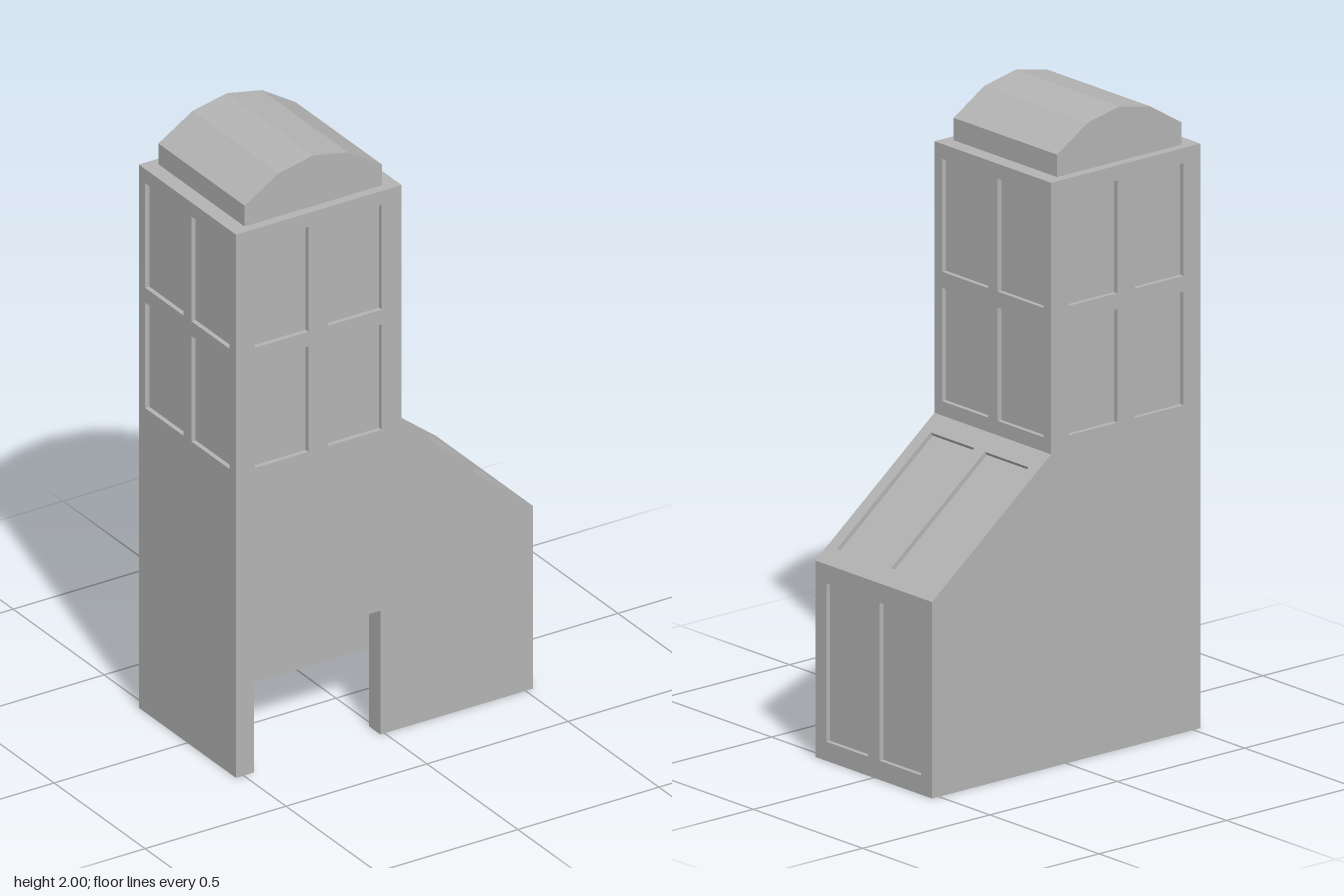
import * as THREE from 'three';

const D = 0.015; // depth of the window recesses
const HALF = 0.267; // half of the building's depth

const shapeOf = (pts) => new THREE.Shape(pts.map(([x, y]) => new THREE.Vector2(x, y)));
const rect = (x0, x1, y0, y1) => [[x0, y0], [x1, y0], [x1, y1], [x0, y1]];

// side outline of the building, optionally with an opening cut up from the ground
function outline(x0, xTower, x1, yLow, yHigh, opening) {
  const pts = [[x0, 0]];
  if (opening) {
    const [a, b, h] = opening;
    pts.push([a, 0], [a, h], [b, h], [b, 0]);
  }
  pts.push([x1, 0], [x1, yLow], [xTower, yHigh], [xTower, 1.83], [x0, 1.83]);
  return pts;
}

export function createModel() {
  const model = new THREE.Group();
  const grey = new THREE.MeshStandardMaterial({ color: 0xb4b4b4 });
  grey.name = 'grey';

  // slab from an outline with rectangular holes, spanning z0 to z1
  function slab(name, pts, z0, z1, holes = []) {
    const shape = shapeOf(pts);
    for (const h of holes) shape.holes.push(shapeOf(rect(...h)));
    const geo = new THREE.ExtrudeGeometry(shape, { depth: z1 - z0, bevelEnabled: false });
    geo.translate(0, 0, z0);
    const mesh = new THREE.Mesh(geo, grey);
    mesh.name = name;
    model.add(mesh);
    return mesh;
  }

  // two mirrored columns of windows for each row
  const pairs = (inner, outer, rows, centre = 0) =>
    rows.flatMap(([y0, y1]) => [
      [centre - outer, centre - inner, y0, y1],
      [centre + inner, centre + outer, y0, y1],
    ]);

  const outer = (opening) => outline(-0.527, 0.06, 0.527, 0.615, 0.98, opening);
  const inner = (opening) => outline(-0.527 + D, 0.06 - D, 0.527 - D, 0.608, 0.973, opening);
  const towerRows = [[1.025, 1.38], [1.43, 1.783]];
  const door = [-0.463, -0.015, 0.417];
  const room = [-0.463, 0.463, 0.417];

  // front and back faces with recessed windows
  const faceWindows = pairs(0.035, 0.225, towerRows, -0.235);
  slab('frontFace', outer(door), HALF - D, HALF, faceWindows);
  slab('backFace', outer(), -HALF, -HALF + D, faceWindows);

  // hollow core behind the faces
  slab('frontWall', inner(door), 0.205, HALF - D);
  slab('hollowBody', inner(room), -0.215, 0.205);
  slab('backWall', inner(), -HALF + D, -0.215);

  // side faces
  const W = HALF - D;
  const sideWindows = pairs(0.022, 0.232, towerRows);

  const rightTower = slab('towerSideFace', rect(-W, W, 0.98, 1.83), -D, 0, sideWindows);
  rightTower.rotation.y = Math.PI / 2;
  rightTower.position.x = 0.06;

  const otherSide = slab('tallSideFace', rect(-W, W, 0, 1.83), -D, 0, sideWindows);
  otherSide.rotation.y = -Math.PI / 2;
  otherSide.position.x = -0.527;

  const lowSide = slab('lowSideFace', rect(-W, W, 0, 0.615), -D, 0, pairs(0.027, 0.217, [[0.06, 0.555]]));
  lowSide.rotation.y = Math.PI / 2;
  lowSide.position.x = 0.527;

  // sloping face between the low side and the tower
  const run = 0.467, rise = 0.365;
  const slope = slab('slopingFace', rect(-W, W, 0, Math.hypot(run, rise)), -D, 0,
    pairs(0.024, 0.224, [[0.06, 0.527]]));
  slope.rotation.set(0, Math.PI / 2, Math.atan2(run, rise), 'ZYX');
  slope.position.set(0.527, 0.615, 0);

  // faceted vaulted roof
  slab('vaultedRoof', [
    [-0.477, 1.83], [0.01, 1.83], [0.01, 1.9], [-0.11, 1.975],
    [-0.234, 2.0], [-0.356, 1.975], [-0.477, 1.9],
  ], -0.237, 0.237);

  return model;
}
